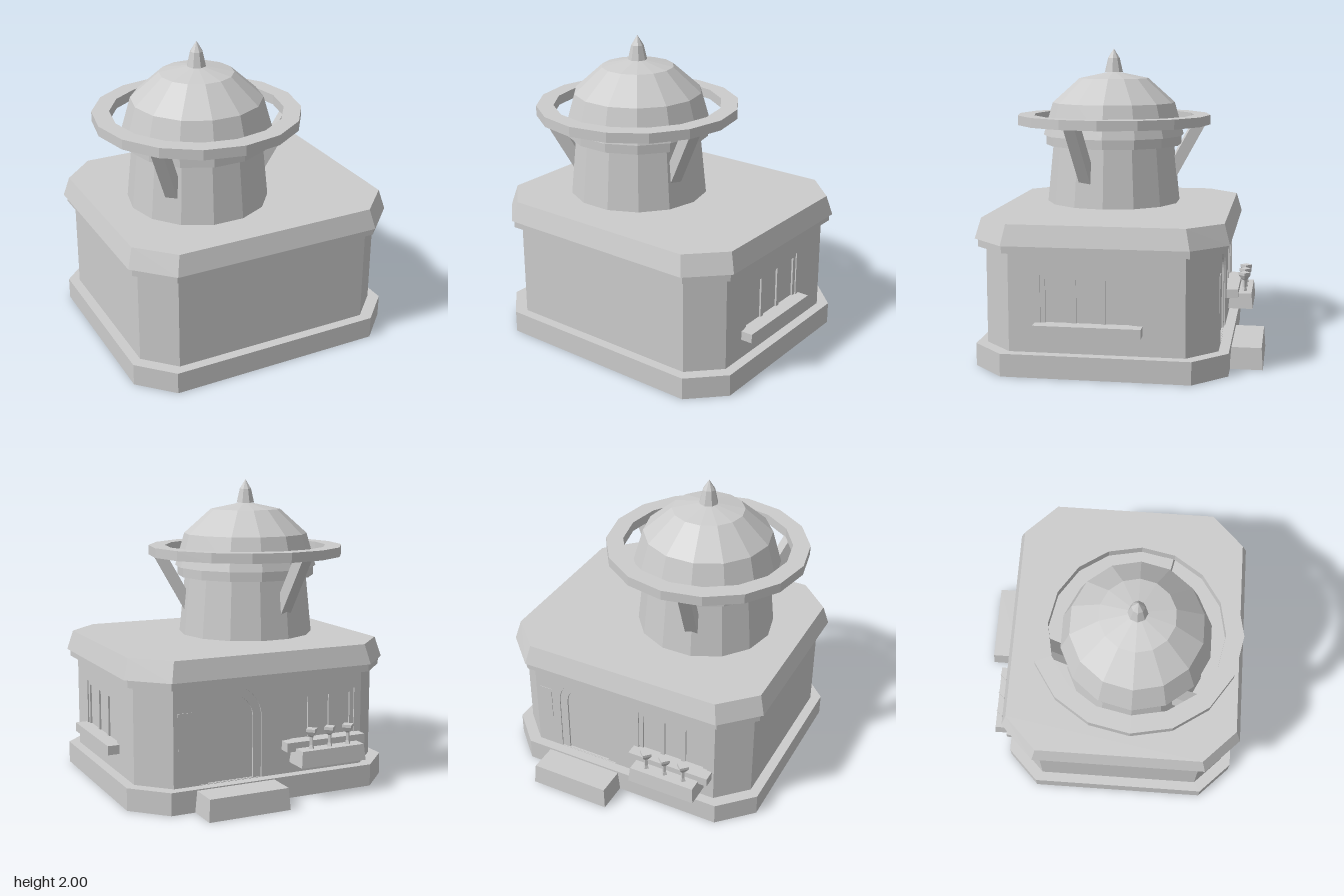
import * as THREE from 'three';

export function createModel() {
  const model = new THREE.Group();
  const stone = new THREE.MeshStandardMaterial({ color: 0xcccccc, flatShading: true, side: THREE.DoubleSide });
  stone.name = 'stone grey';
  const CX = -0.004, CZ = 0.102;

  const add = (parent, name, geometry) => {
    const mesh = new THREE.Mesh(geometry, stone);
    mesh.name = name;
    parent.add(mesh);
    return mesh;
  };
  const group = (parent, name, x = 0, y = 0, z = 0) => {
    const g = new THREE.Group();
    g.name = name;
    g.position.set(x, y, z);
    parent.add(g);
    return g;
  };
  const shapeOf = (pts) => new THREE.Shape(pts.map(([x, y]) => new THREE.Vector2(x, y)));
  const extrude = (shape, depth) => new THREE.ExtrudeGeometry(shape, { depth, curveSegments: 12, bevelEnabled: false });
  const lathe = (pts, sides, start = 0) =>
    new THREE.LatheGeometry(pts.map(([r, y]) => new THREE.Vector2(r, y)), sides, start);
  const box = (parent, name, x0, x1, y0, y1, z0, z1) => {
    const m = add(parent, name, new THREE.BoxGeometry(x1 - x0, y1 - y0, z1 - z0));
    m.position.set((x0 + x1) / 2, (y0 + y1) / 2, (z0 + z1) / 2);
  };
  // Removes the faces lying at the given height, leaving the underside open
  const openBottom = (geo, y) => {
    const p = geo.attributes.position, index = [];
    for (let i = 0; i < p.count; i += 3) {
      const flat = [0, 1, 2].every((k) => Math.abs(p.getY(i + k) - y) < 1e-5);
      if (!flat) index.push(i, i + 1, i + 2);
    }
    geo.setIndex(index);
    return geo;
  };
  // Draws the upper vertices in by an inset
  const taper = (geo, yMid, hx, hz, inset) => {
    const p = geo.attributes.position;
    for (let i = 0; i < p.count; i++) {
      if (p.getY(i) > yMid) {
        p.setX(i, p.getX(i) * (1 - inset / hx));
        p.setZ(i, p.getZ(i) * (1 - inset / hz));
      }
    }
    geo.computeVertexNormals();
    return geo;
  };

  // House: stacked slabs with chamfered corners
  const slabGeometry = (hx, hz, c, h) => extrude(shapeOf([
    [hx - c, -hz], [hx, c - hz], [hx, hz - c], [hx - c, hz],
    [c - hx, hz], [-hx, hz - c], [-hx, c - hz], [c - hx, -hz],
  ]), h).rotateX(-Math.PI / 2);
  const slab = (name, geo, y) => add(model, name, geo).position.set(CX, y, CZ);
  slab('plinth', openBottom(slabGeometry(0.92, 0.803, 0.21, 0.145), 0), 0);
  slab('wallCore', slabGeometry(0.835, 0.718, 0.176, 0.625), 0.145);
  slab('roofBand', slabGeometry(0.9, 0.783, 0.205, 0.05), 0.77);
  slab('roofSlab', taper(slabGeometry(0.923, 0.803, 0.225, 0.13), 0.06, 0.923, 0.803, 0.036), 0.82);

  // Outer wall panels with openings, 0.02 in front of the core
  const rect = (x0, x1, y0, y1) => shapeOf([[x0, y0], [x1, y0], [x1, y1], [x0, y1]]);
  const archShape = (x, r, y0, ySpring) => {
    const s = new THREE.Shape();
    s.moveTo(x - r, y0).lineTo(x + r, y0).lineTo(x + r, ySpring);
    s.absarc(x, ySpring, r, 0, Math.PI, false);
    return s;
  };
  const door = { x: -0.275, spring: 0.395 };
  const sideWindow = { x: -0.048, w: 0.602, y: 0.19, h: 0.3, sill: 0.671 };
  const backWindow = { x: 0.367, w: 0.5, y: 0.22, h: 0.295, sill: 0.572 };
  const windowHole = (o) => rect(o.x - o.w / 2, o.x + o.w / 2, o.y, o.y + o.h);
  const openings = {
    2: [windowHole(sideWindow)],
    4: [windowHole(backWindow), archShape(door.x, 0.21, 0.002, door.spring)],
  };
  const HX = 0.855, HZ = 0.738, C = 0.188;
  const walls = [];
  for (let i = 0; i < 8; i++) {
    const a = i * Math.PI / 4, corner = i % 2 === 1;
    const sx = Math.sin(a), sz = Math.cos(a);
    const x = corner ? Math.sign(sx) * (HX - C / 2) : sx * HX;
    const z = corner ? Math.sign(sz) * (HZ - C / 2) : sz * HZ;
    const half = corner ? C / Math.SQRT2 : (i % 4 === 0 ? HX : HZ) - C;
    const g = group(model, 'wall', CX + x, 0.145, CZ + z);
    g.rotation.y = a;
    const panel = rect(-half, half, 0, 0.625);
    panel.holes.push(...(openings[i] || []));
    add(g, 'wallPanel', extrude(panel, 0.02)).position.z = -0.02;
    walls.push(g);
  }

  // Windows: recessed frame and mullions, sill standing out
  const fitWindow = (wall, o) => {
    const g = group(wall, 'window', o.x, o.y, 0);
    const top = o.h - 0.026;
    box(g, 'frameTop', -o.w / 2, o.w / 2, top, o.h, -0.02, -0.008);
    for (const s of [-1, 1]) {
      const e = s * (o.w / 2 - 0.015), m = s * o.w * 0.153;
      box(g, 'frameSide', e - 0.015, e + 0.015, 0, top, -0.02, -0.008);
      box(g, 'mullion', m - 0.015, m + 0.015, 0, top, -0.02, -0.008);
    }
    box(g, 'sill', -o.sill / 2, o.sill / 2, -0.06, 0, -0.02, 0.078);
  };
  fitWindow(walls[2], sideWindow);
  fitWindow(walls[4], backWindow);

  // Arched door surround and small wall plate
  const surround = archShape(door.x, 0.21, 0.002, door.spring);
  surround.holes.push(archShape(door.x, 0.155, 0.004, door.spring));
  add(walls[4], 'doorSurround', extrude(surround, 0.012)).position.z = -0.02;
  box(walls[4], 'wallPlate', -0.637, -0.547, 0.235, 0.47, -0.01, 0.004);

  // Doorstep and planter, open underneath
  const tray = (name, w, h, d, x, y, z) => {
    const geo = taper(new THREE.BoxGeometry(w, h, d).toNonIndexed(), 0, w / 2, d / 2, 0.01);
    add(model, name, openBottom(geo, -h / 2)).position.set(x, y + h / 2, z);
  };
  tray('doorstep', 0.553, 0.14, 0.21, 0.271, 0, -0.803);
  tray('planter', 0.47, 0.105, 0.168, -0.371, 0.22, -0.729);

  // Three small flowers
  for (const x of [-0.505, -0.371, -0.237]) {
    add(model, 'flower', lathe([
      [0.022, 0.32], [0.013, 0.35], [0.013, 0.4], [0.025, 0.412], [0.042, 0.436], [0.042, 0.455], [0, 0.455],
    ], 4)).position.set(x, 0, -0.75);
  }

  // Tower with collar, dome and finial
  const tower = group(model, 'tower', -0.218, 0, 0.167);
  add(tower, 'towerWall', lathe([[0.46, 0.95], [0.42, 1.345]], 14, Math.PI / 2));
  add(tower, 'towerCollar', lathe([[0.4, 1.345], [0.47, 1.345], [0.47, 1.41]], 14, Math.PI / 2));
  add(tower, 'dome', lathe([[0.45, 1.41], [0.487, 1.41], [0.423, 1.632], [0.238, 1.798], [0, 1.848]], 14, Math.PI / 2));
  add(tower, 'finial', lathe([[0, 1.84], [0.063, 1.84], [0.041, 1.934], [0, 2]], 8));

  // Ring walkway on three slanted struts
  add(tower, 'ring', lathe([[0.556, 1.485], [0.669, 1.485], [0.669, 1.55], [0.556, 1.55], [0.556, 1.485]], 16));
  for (let i = 0; i < 3; i++) {
    const geo = extrude(shapeOf([[0.43, 1.11], [0.64, 1.488], [0.548, 1.488], [0.36, 1.15]]), 0.084);
    geo.translate(0, 0, -0.042);
    add(tower, 'strut', geo).rotation.y = -THREE.MathUtils.degToRad(17.5 + 120 * i);
  }

  return model;
}
